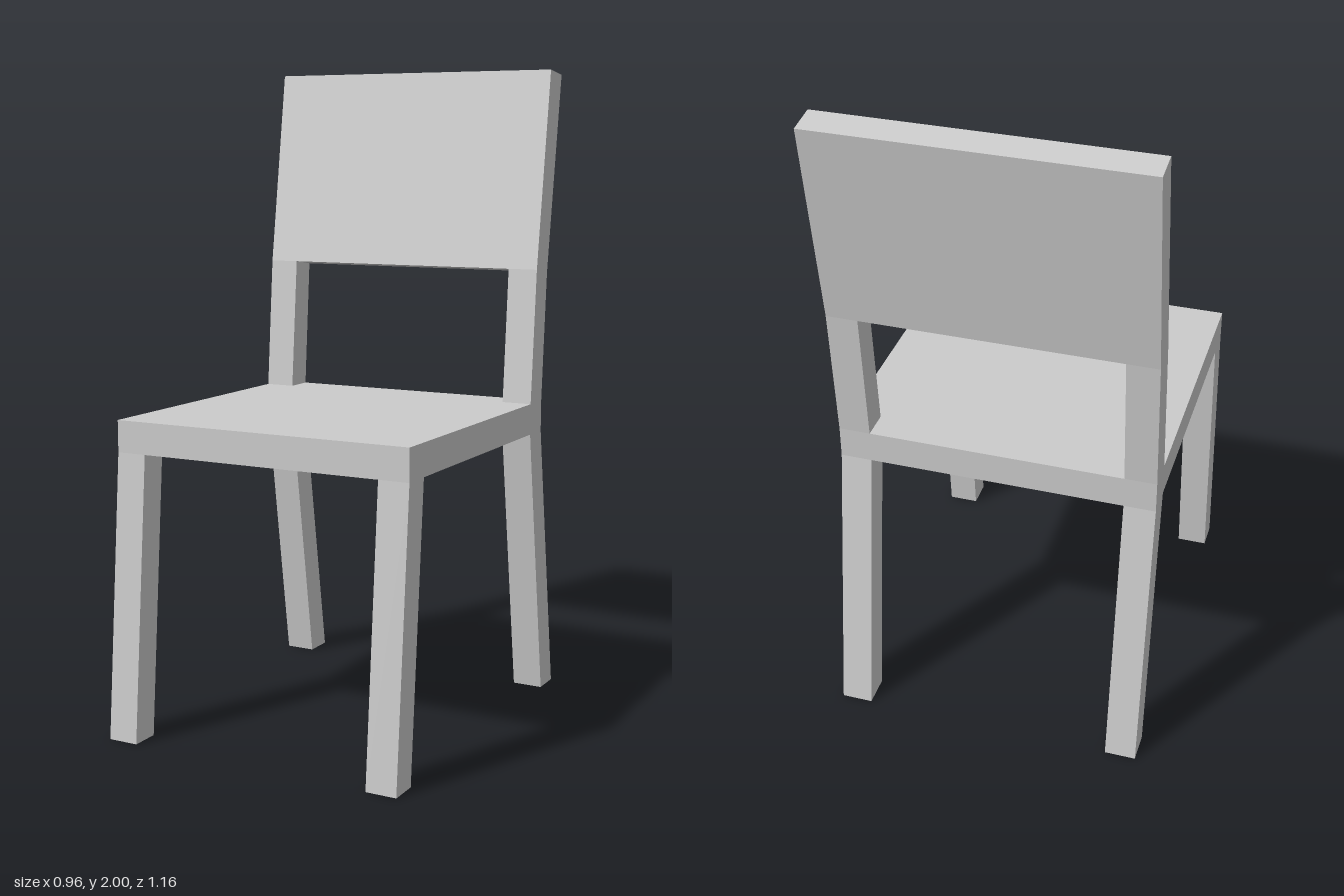
import * as THREE from 'three';

const HALF = 0.48;   // half width of the chair
const POST = 0.095;  // width of legs and uprights

const material = new THREE.MeshStandardMaterial({ color: 0xcccccc, flatShading: true });

// Extrudes a side profile of [z, y] corners across x, from x0 to x1
function slab(name, profile, x0, x1) {
  const shape = new THREE.Shape(profile.map(([z, y]) => new THREE.Vector2(z, y)));
  const geometry = new THREE.ExtrudeGeometry(shape, { depth: x1 - x0, bevelEnabled: false });
  geometry.rotateY(-Math.PI / 2).translate(x1, 0, 0);
  const mesh = new THREE.Mesh(geometry, material);
  mesh.name = name;
  return mesh;
}

export function createModel() {
  const chair = new THREE.Group();
  chair.name = 'chair';

  // Full-width seat and raked backrest
  chair.add(
    slab('seat', [[-0.445, 0.865], [0.51, 0.865], [0.51, 0.962], [-0.445, 0.962]], -HALF, HALF),
    slab('backrest', [[-0.475, 1.37], [-0.388, 1.382], [-0.478, 2], [-0.57, 1.987]], -HALF, HALF),
  );

  // Splayed legs and backrest uprights on each side
  const posts = {
    FrontLeg: [[0.49, 0], [0.58, 0], [0.51, 0.865], [0.42, 0.865]],
    BackLeg: [[-0.58, 0], [-0.487, 0], [-0.355, 0.865], [-0.445, 0.865]],
    Upright: [[-0.445, 0.962], [-0.355, 0.962], [-0.388, 1.382], [-0.475, 1.37]],
  };
  for (const [part, profile] of Object.entries(posts)) {
    chair.add(
      slab('left' + part, profile, HALF - POST, HALF),
      slab('right' + part, profile, -HALF, POST - HALF),
    );
  }
  return chair;
}
